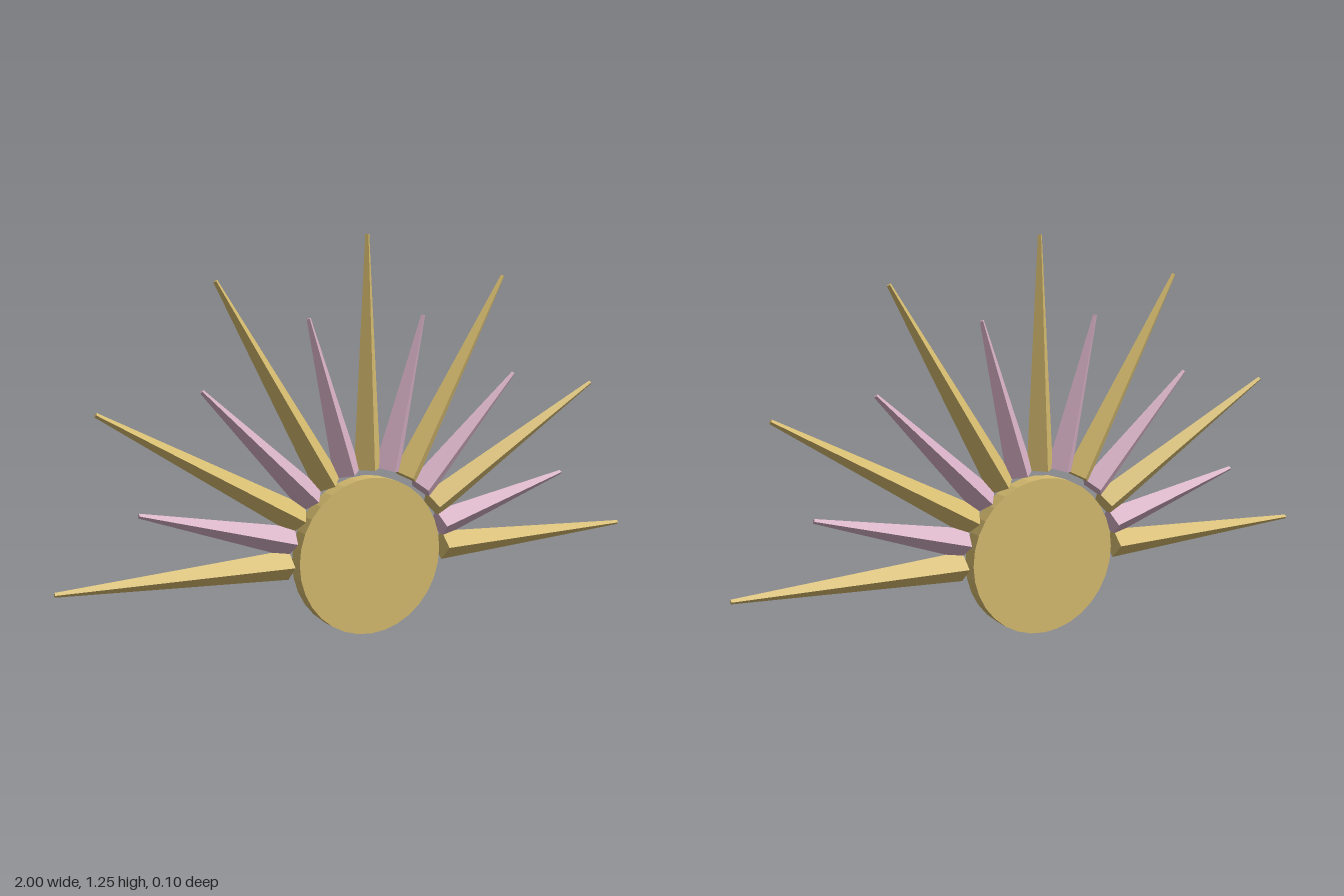
import * as THREE from 'three';

export function createModel() {
  const model = new THREE.Group();
  model.name = 'sunburst';

  const gold = new THREE.MeshStandardMaterial({ name: 'gold', color: 0xd4ba6e, flatShading: true });
  const pink = new THREE.MeshStandardMaterial({ name: 'dustyPink', color: 0xd4aec2, flatShading: true });

  const centreY = 0.25;
  const innerRadius = 0.275;

  // Central disc, facing front and back
  const disc = new THREE.Mesh(new THREE.CylinderGeometry(0.25, 0.25, 0.055, 32).rotateX(Math.PI / 2), gold);
  disc.name = 'disc';
  disc.position.y = centreY;
  model.add(disc);

  // Four-sided tapering ray, starting at the inner radius and pointing up
  function rayGeometry(outerRadius) {
    const length = outerRadius - innerRadius;
    return new THREE.CylinderGeometry(0.0075, 0.05, length, 4)
      .scale(0.94, 1, 1)
      .translate(0, innerRadius + length / 2, 0);
  }
  const longRay = rayGeometry(1);
  const shortRay = rayGeometry(0.775);

  // Half circle of rays, long gold alternating with short pink
  for (let i = 0; i <= 12; i++) {
    const isLong = i % 2 === 0;
    const ray = new THREE.Mesh(isLong ? longRay : shortRay, isLong ? gold : pink);
    ray.name = (isLong ? 'longRay' : 'shortRay') + (i + 1);
    ray.position.y = centreY;
    ray.rotation.z = Math.PI / 2 - (i * Math.PI) / 12;
    model.add(ray);
  }

  return model;
}
